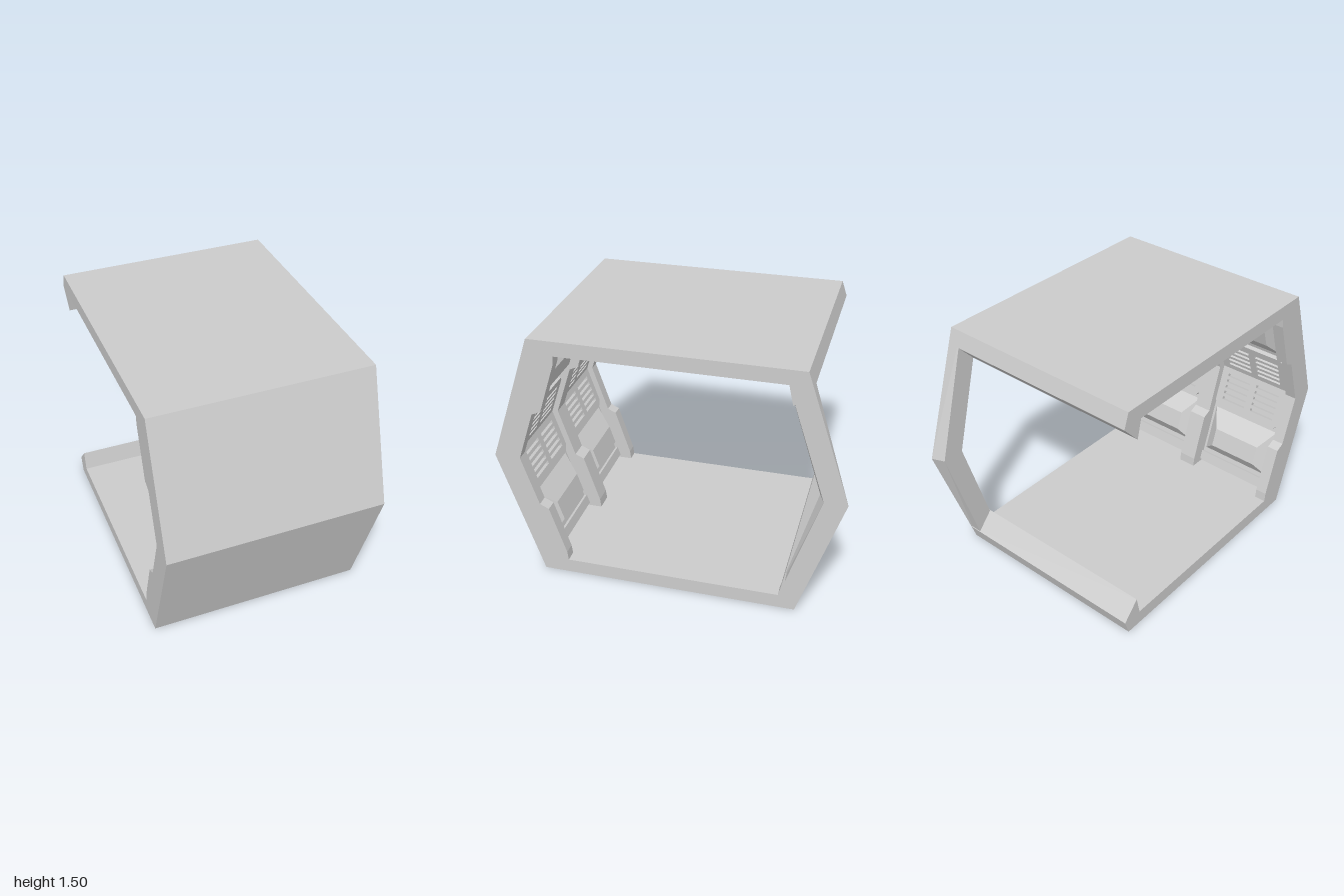
import * as THREE from 'three';

const grey = new THREE.MeshStandardMaterial({ color: 0xcccccc, flatShading: true });

function add(parent, name, geometry) {
  const mesh = new THREE.Mesh(geometry, grey);
  mesh.name = name;
  parent.add(mesh);
  return mesh;
}

// Closed [z, y] outline extruded along x
function prism(points, x0, x1) {
  const shape = new THREE.Shape(points.map(p => new THREE.Vector2(p[0], p[1])));
  const g = new THREE.ExtrudeGeometry(shape, { depth: x1 - x0, bevelEnabled: false });
  return g.rotateY(-Math.PI / 2).translate(x1, 0, 0);
}

// Mirrors a lower [z, y] half-outline about mid height
const mirrored = pts => pts.concat(pts.filter(p => p[1] !== 0.75).reverse().map(([z, y]) => [z, 1.5 - y]));

// Plate with clipped far corners and two columns of slots
function ventPlate(w, s0, s1, z0, z1) {
  const c = 0.03, h = w / 2;
  const shape = new THREE.Shape([
    [-h, s0], [h, s0], [h, s1 - c], [h - c, s1], [c - h, s1], [-h, s1 - c],
  ].map(p => new THREE.Vector2(...p)));
  for (const side of [-1, 1]) {
    for (let i = 0; i < 5; i++) {
      const x = side * 0.108, s = 0.085 + i * 0.04, a = 0.085, b = 0.01;
      shape.holes.push(new THREE.Path([
        [x - a, s - b], [x - a, s + b], [x + a, s + b], [x + a, s - b],
      ].map(p => new THREE.Vector2(...p))));
    }
  }
  return new THREE.ExtrudeGeometry(shape, { depth: z1 - z0, bevelEnabled: false }).translate(0, 0, z0);
}

// Raised block with sloping sides
function raisedBlock(w, s0, s1, z0, z1) {
  const g = new THREE.BoxGeometry(w, s1 - s0, z1 - z0).translate(0, (s0 + s1) / 2, (z0 + z1) / 2);
  const p = g.attributes.position;
  for (let i = 0; i < p.count; i++) {
    if (p.getZ(i) < (z0 + z1) / 2) continue;
    p.setX(i, p.getX(i) - Math.sign(p.getX(i)) * 0.08);
    p.setY(i, p.getY(i) < (s0 + s1) / 2 ? s0 + 0.13 : s1 - 0.06);
  }
  g.computeVertexNormals();
  return g;
}

export function createModel() {
  const model = new THREE.Group();
  model.name = 'corridorSection';

  // Floor, folded wall and ceiling, with lips along the open side
  add(model, 'shell', prism([
    [-0.78, 0.09], [-0.75, 0], [0.75, 0], [1, 0.75], [0.75, 1.5], [-0.75, 1.5], [-0.78, 1.41],
    [-0.68, 1.3], [-0.655, 1.415], [0.69, 1.415], [0.91, 0.75], [0.69, 0.085], [-0.655, 0.085], [-0.68, 0.2],
  ], -0.625, 0.625));

  // Folded frame closing the open side at one end, slightly skewed inward
  const frame = prism([
    [-0.655, 0.085], [-0.75, 0], [-1, 0.75], [-0.75, 1.5], [-0.655, 1.415], [-0.87, 0.75],
  ], 0.55, 0.625);
  const p = frame.attributes.position;
  for (let i = 0; i < p.count; i++) {
    const mid = 1 - Math.abs(p.getY(i) - 0.75) / 0.75;
    p.setZ(i, p.getZ(i) + 0.03 * mid * (0.625 - p.getX(i)) / 0.075);
  }
  frame.computeVertexNormals();
  add(model, 'openSideFrame', frame);

  // Stepped wall ribs at both ends and the middle
  const inner = mirrored([[0.6, 0.08], [0.607, 0.14], [0.7, 0.43], [0.753, 0.455], [0.85, 0.75]]);
  const outline = [...inner, [0.74, 1.42], [0.95, 0.75], [0.74, 0.08]];
  for (const [x0, x1] of [[-0.625, -0.555], [-0.055, 0.055], [0.555, 0.625]]) {
    add(model, 'wallRib', prism(outline, x0, x1));
  }

  // Wall panels: y runs along the slope from the fold, z points inward
  const c = 0.75 / Math.hypot(0.25, 0.75), n = c / 3;
  for (const up of [-1, 1]) {
    const half = new THREE.Group();
    half.name = up > 0 ? 'upperWallPanels' : 'lowerWallPanels';
    half.quaternion.setFromRotationMatrix(new THREE.Matrix4().makeBasis(
      new THREE.Vector3(-up, 0, 0),
      new THREE.Vector3(0, up * c, -n),
      new THREE.Vector3(0, -up * n, -c)));
    half.position.set(0, 0.75, 1);
    for (const side of [-1, 1]) {
      const x = side * 0.305;
      add(half, 'ventPanel', ventPlate(0.48, 0.034, 0.305, 0.08, 0.112)).position.x = x;
      add(half, 'raisedPanel', raisedBlock(0.48, 0.32, 0.63, 0.08, 0.15)).position.x = x;
      add(half, 'skirting', new THREE.BoxGeometry(0.5, 0.06, 0.03)).position.set(x, 0.685, 0.087);
    }
    model.add(half);
  }
  return model;
}
